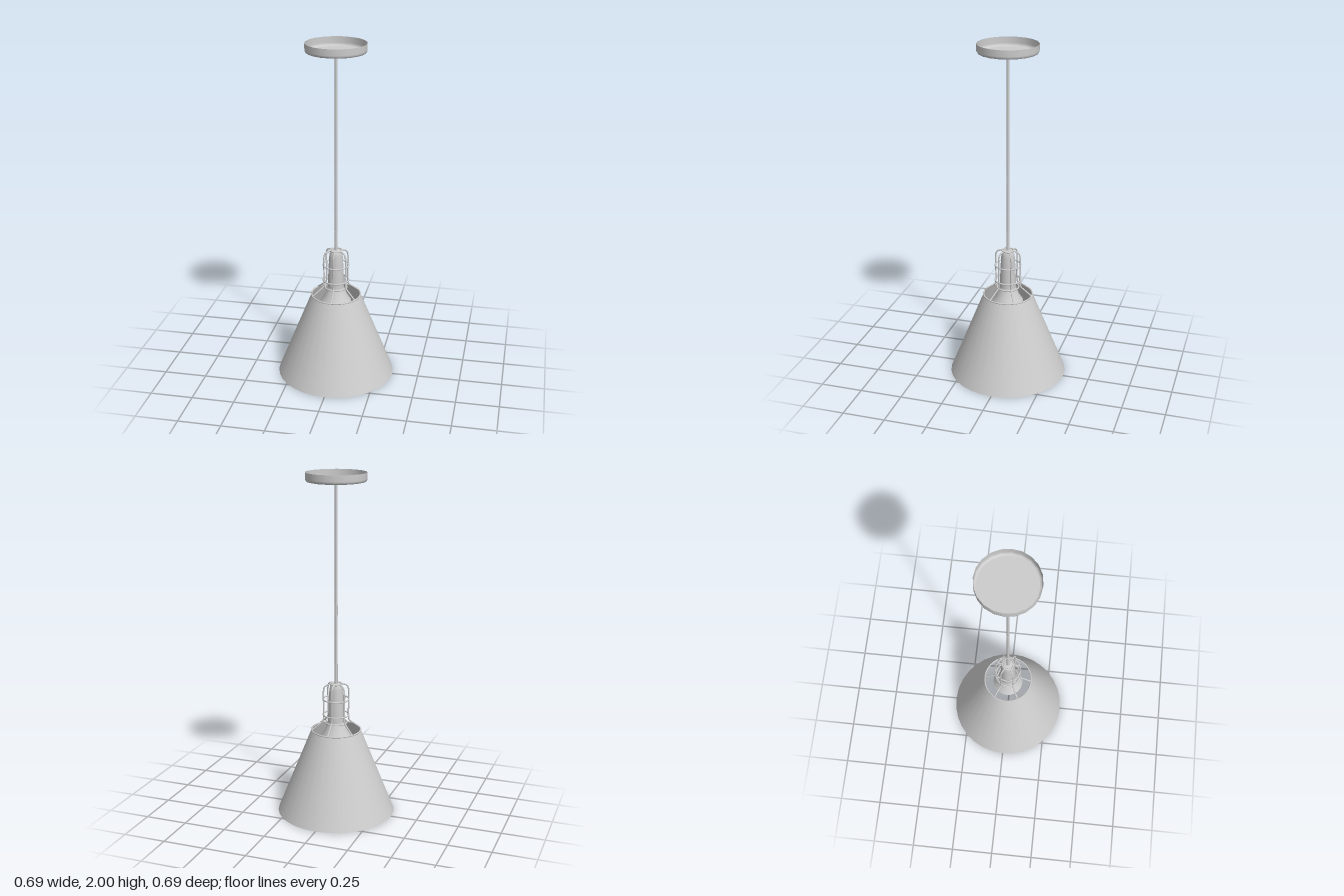
import * as THREE from 'three';

const v2 = (pts) => pts.map(([x, y]) => new THREE.Vector2(x, y));

export function createModel() {
  const lamp = new THREE.Group();
  lamp.name = 'pendantLamp';
  const metal = new THREE.MeshStandardMaterial({ color: 0xcccccc, side: THREE.DoubleSide });
  metal.name = 'greyMetal';

  const add = (name, geometry, y = 0, parent = lamp) => {
    const mesh = new THREE.Mesh(geometry, metal);
    mesh.name = name;
    mesh.position.y = y;
    parent.add(mesh);
    return mesh;
  };
  const rod = (name, r, y0, y1) =>
    add(name, new THREE.CylinderGeometry(r, r, y1 - y0, 16), (y0 + y1) / 2);

  // Open conical shade
  add('shade', new THREE.LatheGeometry(v2([[0.345, 0], [0.145, 0.5]]), 32));

  // Ceiling canopy: shallow cup open towards the ceiling
  add('canopyFloor', new THREE.CircleGeometry(0.158, 20).rotateX(Math.PI / 2).rotateY(Math.PI / 2), 1.948);
  add('canopyWall', new THREE.LatheGeometry(
    v2([[0.158, 1.948], [0.166, 1.95], [0.171, 1.957], [0.172, 1.965], [0.172, 2]]), 20));

  // Hanging stem with its couplings
  rod('stem', 0.008, 0.77, 1.952);
  rod('stemCoupling', 0.0095, 1.19, 1.25);
  rod('lowerCoupling', 0.0095, 0.78, 0.9);

  // Lamp socket, tapering up to a rounded cap, with a flared foot
  add('socket', new THREE.LatheGeometry(v2([
    [0.047, 0.55], [0.046, 0.62], [0.043, 0.69], [0.039, 0.75], [0.034, 0.775], [0.026, 0.783], [0, 0.785],
  ]), 24));
  add('socketFlare', new THREE.LatheGeometry(v2([[0.09, 0.46], [0.065, 0.5], [0.047, 0.55]]), 24));

  // Wire cage: six bent wires and the hoops tying them together
  const cage = new THREE.Group();
  cage.name = 'cage';
  lamp.add(cage);
  const bends = [
    [0.03, 0.782], [0.05, 0.778], [0.067, 0.768], [0.074, 0.745], [0.074, 0.66],
    [0.074, 0.58], [0.078, 0.558], [0.105, 0.535], [0.145, 0.504],
  ];
  const path = new THREE.CatmullRomCurve3(bends.map(([r, y]) => new THREE.Vector3(0, y, r)));
  const wire = new THREE.TubeGeometry(path, 32, 0.0045, 8);
  for (let i = 0; i < 6; i++) {
    add('cageWire', wire, 0, cage).rotation.y = (i * Math.PI) / 3;
  }
  const hoops = [[0.034, 0.782], [0.075, 0.69], [0.075, 0.595], [0.064, 0.548], [0.144, 0.503]];
  for (const [r, y] of hoops) {
    add('cageHoop', new THREE.TorusGeometry(r, 0.0045, 8, 32).rotateX(Math.PI / 2), y, cage);
  }
  return lamp;
}
